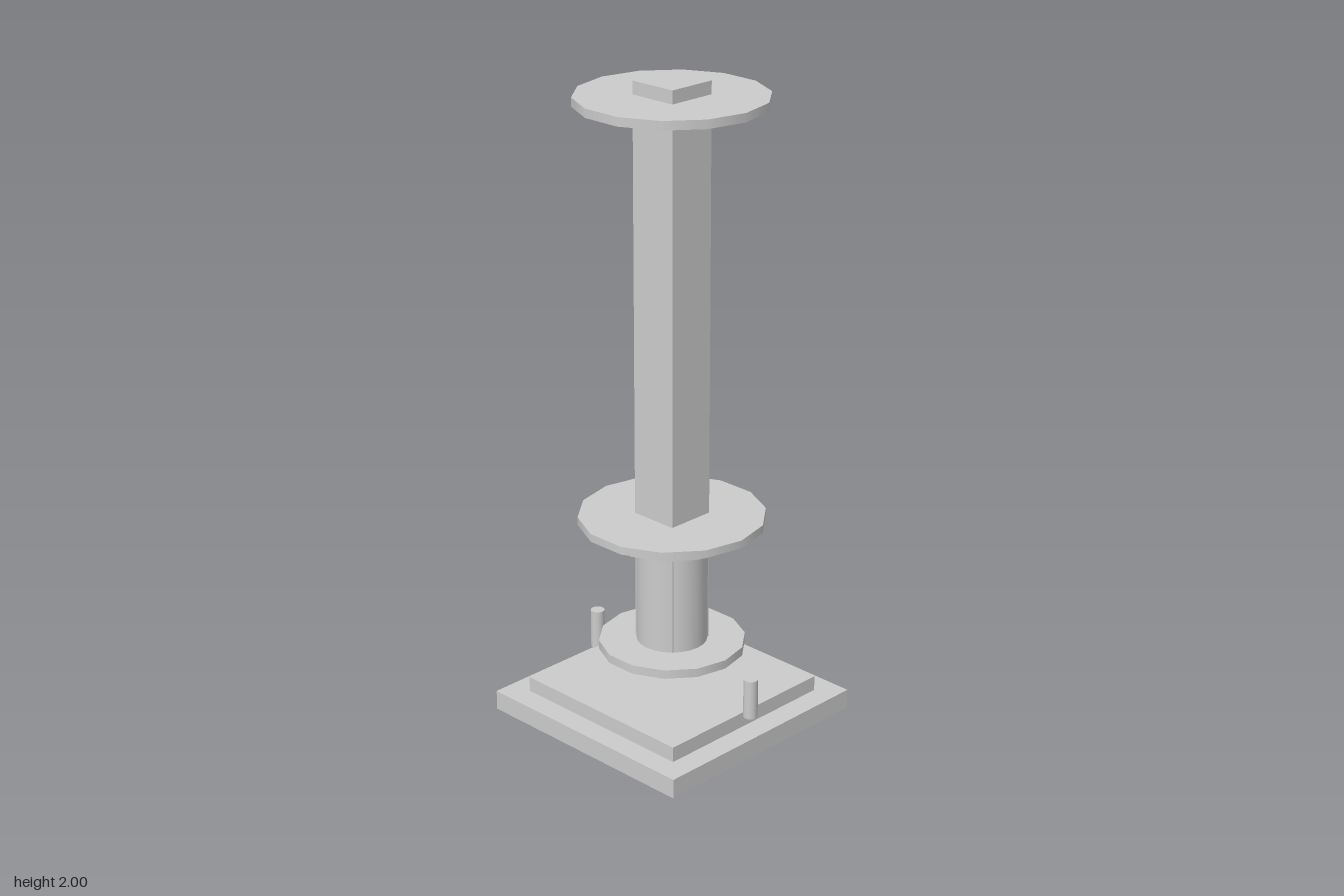
import * as THREE from 'three';

const material = new THREE.MeshStandardMaterial({ color: 0xcccccc });

export function createModel() {
  const group = new THREE.Group();

  const add = (name, geometry, x, y0, y1) => {
    const mesh = new THREE.Mesh(geometry, material);
    mesh.name = name;
    mesh.position.set(x, (y0 + y1) / 2, 0);
    group.add(mesh);
  };
  // Square block or upright cylinder between two heights
  const block = (name, size, y0, y1) =>
    add(name, new THREE.BoxGeometry(size, y1 - y0, size), 0, y0, y1);
  const round = (name, radius, y0, y1, sides, x = 0) =>
    add(name, new THREE.CylinderGeometry(radius, radius, y1 - y0, sides, 1, false, Math.PI / 2), x, y0, y1);

  // Stepped square base
  block('basePlate', 0.77, 0, 0.062);
  block('upperBasePlate', 0.624, 0.062, 0.11);

  // Guide pins either side of the base
  for (const side of [-1, 1]) {
    round(side > 0 ? 'leftPin' : 'rightPin', 0.022, 0.1, 0.226, 24, side * 0.331);
  }

  // Square column running through the drum and collars
  block('column', 0.158, 0.2, 2);

  // Drum between two collars
  round('lowerCollar', 0.226, 0.222, 0.25, 14);
  round('drum', 0.109, 0.25, 0.61, 24);
  round('upperCollar', 0.226, 0.61, 0.642, 14);

  // Wide flanges at the foot and head of the column
  round('lowerFlange', 0.286, 0.642, 0.667, 14);
  round('topFlange', 0.286, 1.933, 1.96, 14);

  return group;
}
